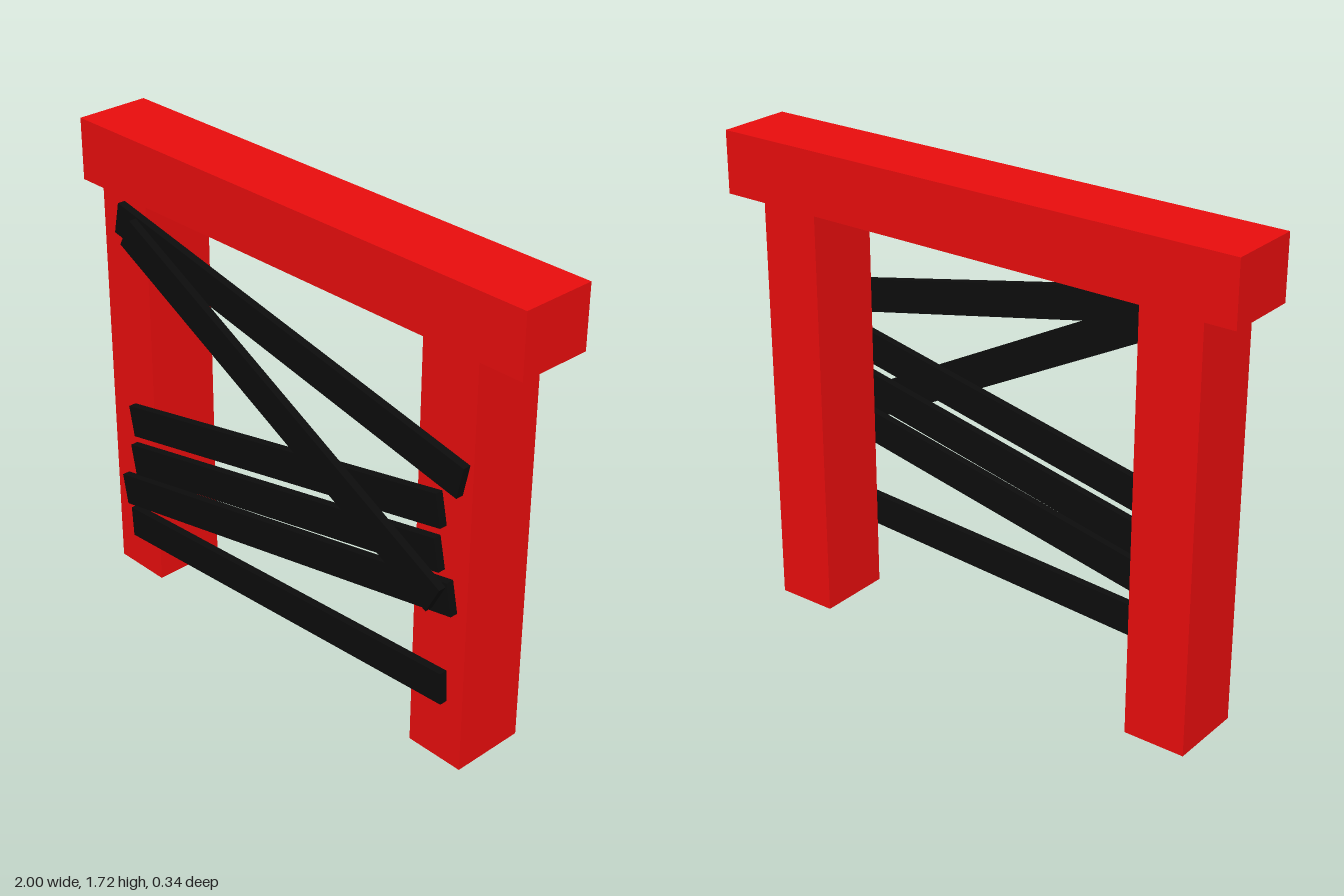
import * as THREE from 'three';

export function createModel() {
  const model = new THREE.Group();
  model.name = 'boardedGate';
  const red = new THREE.MeshStandardMaterial({ color: 0xe80d0d });
  const black = new THREE.MeshStandardMaterial({ color: 0x0c0c0c });

  // Box given by its extents in x, y and z
  function block(name, [x0, x1], [y0, y1], [z0, z1]) {
    const mesh = new THREE.Mesh(new THREE.BoxGeometry(x1 - x0, y1 - y0, z1 - z0), red);
    mesh.position.set((x0 + x1) / 2, (y0 + y1) / 2, (z0 + z1) / 2);
    mesh.name = name;
    model.add(mesh);
  }

  // Flat board running between the middles of its two ends
  function plank(name, [x0, y0], [x1, y1], z) {
    const length = Math.hypot(x1 - x0, y1 - y0);
    const mesh = new THREE.Mesh(new THREE.BoxGeometry(length, 0.117, 0.029), black);
    mesh.position.set((x0 + x1) / 2, (y0 + y1) / 2, z);
    mesh.rotation.z = Math.atan2(y1 - y0, x1 - x0);
    mesh.name = name;
    model.add(mesh);
  }

  // Frame: two posts under a lintel
  const depth = [-0.167, 0.107];
  block('rightPost', [-0.892, -0.668], [0, 1.495], depth);
  block('leftPost', [0.614, 0.836], [0, 1.495], depth);
  block('lintel', [-1, 1], [1.493, 1.716], depth);

  // Boards nailed to the front of the posts
  const boards = [
    [[-0.79, 1.425], [0.81, 1.086]],
    [[-0.762, 0.644], [0.727, 0.952]],
    [[-0.762, 0.484], [0.727, 0.792]],
    [[-0.82, 0.334], [0.786, 0.655]],
    [[-0.786, 0.209], [0.767, 0.302]],
  ];
  boards.forEach(([a, b], i) => plank(`plank${i + 1}`, a, b, 0.122));

  // Diagonal board laid over the others
  plank('diagonalPlank', [-0.707, 1.407], [0.747, 0.648], 0.154);

  return model;
}
